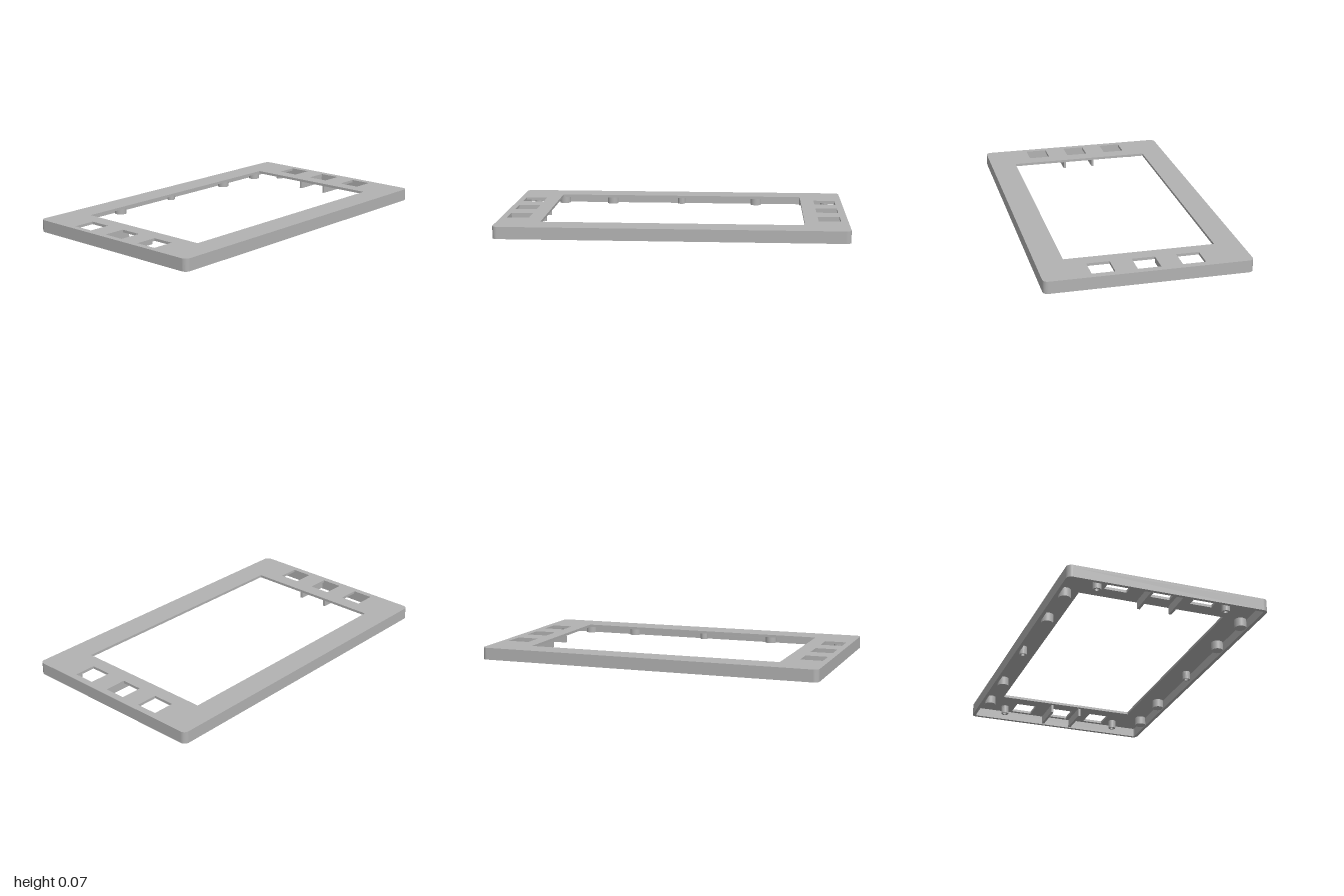
import * as THREE from 'three';

const HEIGHT = 0.07, PLATE = 0.015, UNDER = HEIGHT - PLATE;
const HALF_X = 1, HALF_Z = 0.575, WALL = 0.02;

// Rounded rectangle outline centred on the origin
function roundedRect(target, hx, hy, r) {
  target.moveTo(hx, -hy + r);
  target.absarc(hx - r, hy - r, r, 0, Math.PI / 2);
  target.absarc(-hx + r, hy - r, r, Math.PI / 2, Math.PI);
  target.absarc(-hx + r, -hy + r, r, Math.PI, Math.PI * 1.5);
  target.absarc(hx - r, -hy + r, r, Math.PI * 1.5, Math.PI * 2);
  target.closePath();
  return target;
}

// Rectangular opening given by its x and z limits
function opening(x0, x1, z0, z1) {
  return new THREE.Path([[x0, -z0], [x0, -z1], [x1, -z1], [x1, -z0], [x0, -z0]]
    .map(([x, y]) => new THREE.Vector2(x, y)));
}

// Extrude a plan shape upward between two heights
function slab(shape, y0, y1) {
  const g = new THREE.ExtrudeGeometry(shape, { depth: y1 - y0, bevelEnabled: false, curveSegments: 8 });
  return g.rotateX(-Math.PI / 2).translate(0, y0, 0);
}

export function createModel() {
  const root = new THREE.Group();
  root.name = 'bezelFrame';
  const grey = new THREE.MeshStandardMaterial({ color: 0xb2b2b2 });
  grey.name = 'grey plastic';

  const add = (name, geometry, x = 0, y = 0, z = 0) => {
    const mesh = new THREE.Mesh(geometry, grey);
    mesh.name = name;
    mesh.position.set(x, y, z);
    root.add(mesh);
  };

  // Face plate with the display window and six button openings
  const face = roundedRect(new THREE.Shape(), HALF_X, HALF_Z, 0.03);
  face.holes.push(opening(-0.75, 0.75, -0.43, 0.42));
  for (const x of [-0.9, 0.895]) {
    for (const z of [-0.252, -0.004, 0.246]) {
      face.holes.push(opening(x - 0.064, x + 0.064, z - 0.064, z + 0.064));
    }
  }
  add('facePlate', slab(face, UNDER, HEIGHT));

  // Thin skirt around the edge
  const skirt = roundedRect(new THREE.Shape(), HALF_X, HALF_Z, 0.03);
  skirt.holes.push(roundedRect(new THREE.Path(), HALF_X - WALL, HALF_Z - WALL, 0.012));
  add('outerWall', slab(skirt, 0, UNDER));

  // Hollow screw posts: four near the corners, two mid-edge
  const ring = new THREE.Shape().absarc(0, 0, 0.023, 0, Math.PI * 2);
  ring.holes.push(new THREE.Path().absarc(0, 0, 0.012, 0, Math.PI * 2));
  const post = slab(ring, 0.005, UNDER);
  for (const z of [-0.38, 0.365]) {
    for (const x of [-0.9, 0.9]) add('cornerScrewPost', post, x, 0, z);
  }
  for (const z of [-0.52, 0.52]) add('middleScrewPost', post, 0, 0, z);

  // Solid support bosses along both long edges
  const boss = new THREE.CylinderGeometry(0.034, 0.034, UNDER - 0.005, 24);
  for (const z of [-0.51, 0.525]) {
    for (const x of [-0.75, -0.44, 0.475, 0.785]) {
      add('supportBoss', boss, x, (UNDER + 0.005) / 2, z);
    }
  }

  // Cross ribs on either side of the middle buttons
  const rib = new THREE.BoxGeometry(0.21, UNDER - 0.005, 0.015);
  for (const x of [-0.875, 0.875]) {
    for (const z of [-0.095, 0.09]) add('buttonRib', rib, x, (UNDER + 0.005) / 2, z);
  }

  return root;
}
